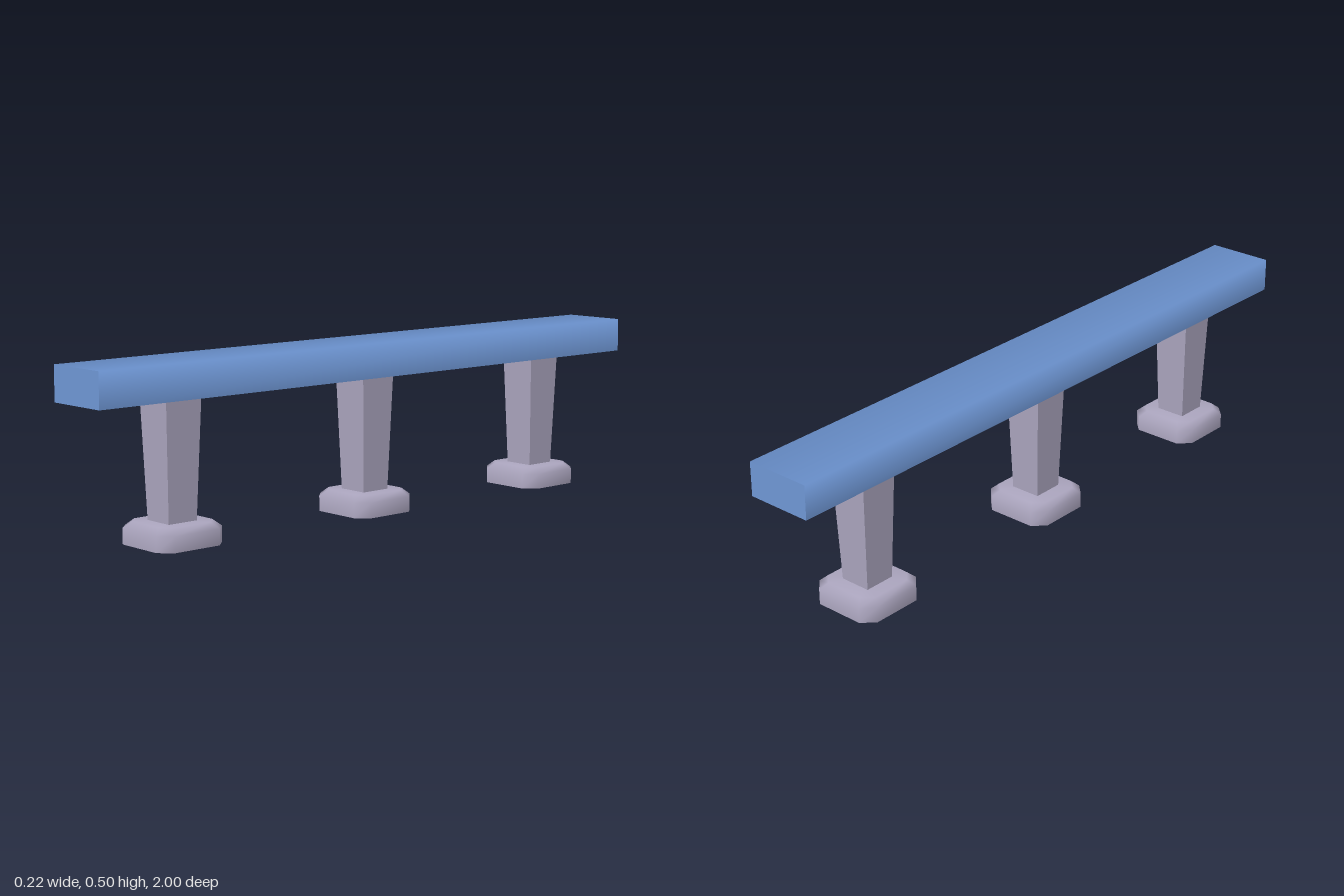
import * as THREE from 'three';

const seatBlue = new THREE.MeshStandardMaterial({ color: 0x6e96d4 });
seatBlue.name = 'seatBlue';
const legGrey = new THREE.MeshStandardMaterial({ color: 0xaaa4bd });
legGrey.name = 'legGrey';
const footGrey = new THREE.MeshStandardMaterial({ color: 0xaaa4bd, side: THREE.DoubleSide });
footGrey.name = 'footGrey';

function part(name, geometry, material) {
  const mesh = new THREE.Mesh(geometry, material);
  mesh.name = name;
  return mesh;
}

// Plank with soft shading over its long top edges; ends and underside stay flat
function seatGeometry() {
  const geo = new THREE.BoxGeometry(0.2, 0.1, 2);
  const pos = geo.attributes.position, nor = geo.attributes.normal;
  for (let i = 0; i < pos.count; i++) {
    const sideOrTop = Math.abs(nor.getX(i)) > 0.5 || nor.getY(i) > 0.5;
    if (sideOrTop && pos.getY(i) > 0) {
      nor.setXYZ(i, Math.sign(pos.getX(i)) * Math.SQRT1_2, Math.SQRT1_2, 0);
    }
  }
  return geo;
}

// Hollow foot: corner-cut square rings, closed on top and open below
function footGeometry() {
  const rings = [[0.11, 0.075, 0], [0.11, 0.075, 0.045], [0.09, 0.06, 0.063]];
  const points = [], index = [];
  for (const [h, c, y] of rings) {
    for (const [x, z] of [[h, c], [c, h], [-c, h], [-h, c], [-h, -c], [-c, -h], [c, -h], [h, -c]]) {
      points.push(x, y, z);
    }
  }
  for (let r = 0; r < rings.length - 1; r++) {
    for (let i = 0; i < 8; i++) {
      const a = r * 8 + i, b = r * 8 + (i + 1) % 8;
      index.push(a, a + 8, b, b, a + 8, b + 8);
    }
  }
  const centre = points.length / 3;
  points.push(0, 0.063, 0);
  for (let i = 0; i < 8; i++) index.push(16 + i, centre, 16 + (i + 1) % 8);
  const geo = new THREE.BufferGeometry();
  geo.setAttribute('position', new THREE.Float32BufferAttribute(points, 3));
  geo.setIndex(index);
  geo.computeVertexNormals();
  return geo;
}

// Square post that widens towards the seat
function postGeometry() {
  const geo = new THREE.BoxGeometry(1, 0.338, 1).translate(0, 0.232, 0);
  const pos = geo.attributes.position;
  for (let i = 0; i < pos.count; i++) {
    const width = pos.getY(i) > 0.2 ? 0.117 : 0.094;
    pos.setX(i, pos.getX(i) * width);
    pos.setZ(i, pos.getZ(i) * width);
  }
  const flat = geo.toNonIndexed();
  flat.computeVertexNormals();
  return flat;
}

export function createModel() {
  const bench = new THREE.Group();
  bench.name = 'bench';

  const seat = part('seat', seatGeometry(), seatBlue);
  seat.position.y = 0.45;
  bench.add(seat);

  // Three legs along the seat
  const post = postGeometry(), foot = footGeometry();
  [['backLeg', -0.7], ['middleLeg', 0], ['frontLeg', 0.7]].forEach(([name, z]) => {
    const leg = new THREE.Group();
    leg.name = name;
    leg.position.z = z;
    leg.add(part('post', post, legGrey), part('foot', foot, footGrey));
    bench.add(leg);
  });
  return bench;
}
